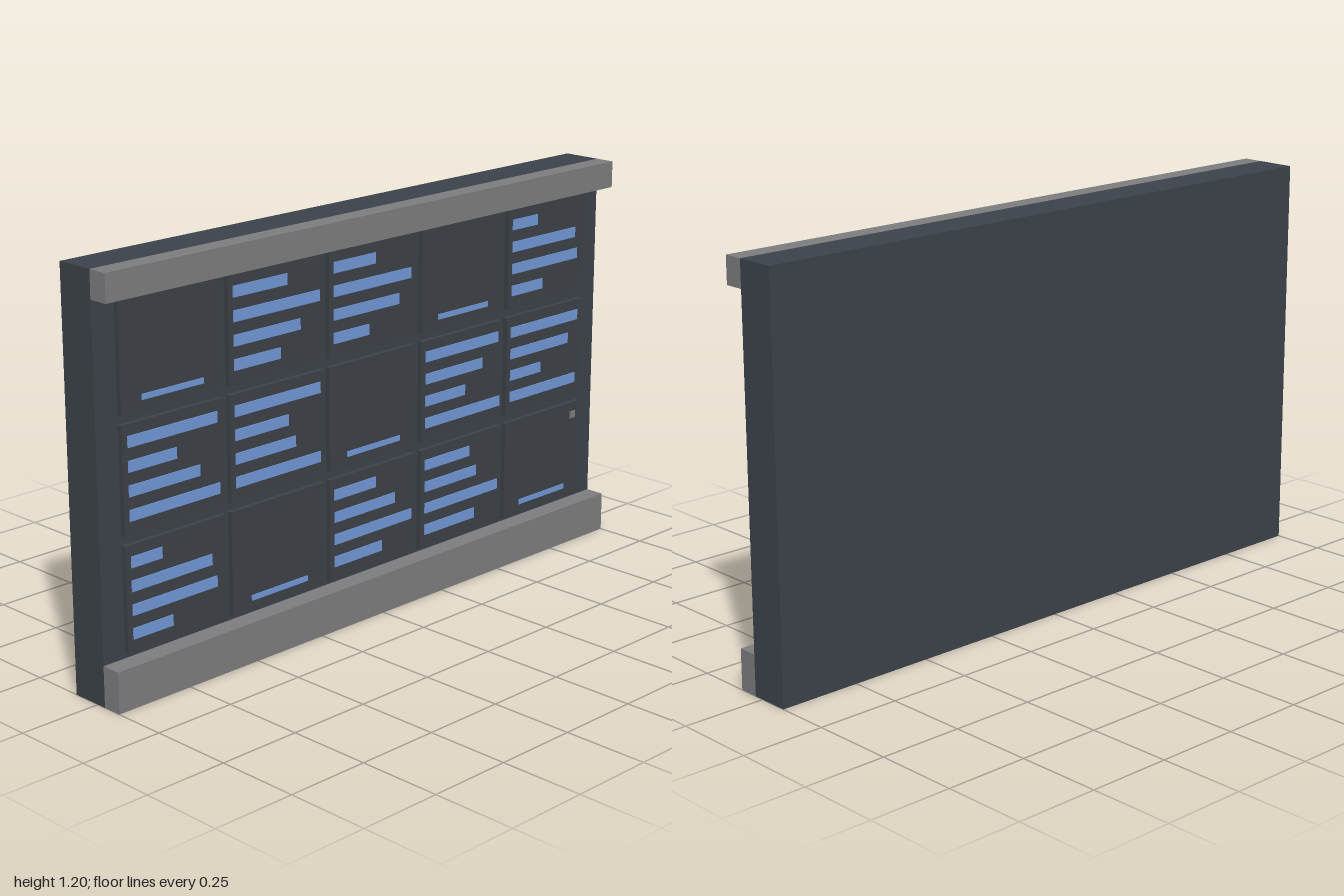
import * as THREE from 'three';

const mat = (name, color) => {
  const m = new THREE.MeshStandardMaterial({ color });
  m.name = name;
  return m;
};

export function createModel() {
  const board = new THREE.Group();
  board.name = 'displayBoard';
  const panelMat = mat('slate', 0x3b4249);
  const tileMat = mat('charcoal', 0x3c4147);
  const railMat = mat('grey', 0x7c7c7e);
  const lineMat = mat('blue', 0x7096d4);

  // Box given by its centre in x and y and its back and front in z
  const box = (parent, name, material, x, y, w, h, z0, z1) => {
    const mesh = new THREE.Mesh(new THREE.BoxGeometry(w, h, z1 - z0), material);
    mesh.name = name;
    mesh.position.set(x, y, (z0 + z1) / 2);
    parent.add(mesh);
  };

  // Back panel and the two projecting rails
  box(board, 'backPanel', panelMat, 0, 0.6, 2, 1.2, -0.09, 0.03);
  box(board, 'topRail', railMat, 0, 1.16, 2, 0.08, 0.03, 0.09);
  box(board, 'bottomRail', railMat, 0, 0.06, 2, 0.12, 0.03, 0.09);

  // Line lengths per tile, rows from the top; null is a tile with one caption strip
  const rows = [
    [null, [0.198, 0.321, 0.246, 0.171], [0.166, 0.31, 0.262, 0.139], null, [0.112, 0.289, 0.3, 0.139]],
    [[0.31, 0.166, 0.246, 0.316], [0.321, 0.198, 0.225, 0.321], null, [0.316, 0.246, 0.171, 0.326], [0.31, 0.267, 0.139, 0.305]],
    [[0.107, 0.283, 0.3, 0.139], null, [0.166, 0.246, 0.316, 0.193], [0.193, 0.225, 0.321, 0.219], null],
  ];
  const front = 0.046, raised = 0.049;

  rows.forEach((row, r) => row.forEach((lines, c) => {
    const tile = new THREE.Group();
    tile.name = `tile${r + 1}_${c + 1}`;
    tile.position.set((c - 2) * 0.375, 0.953 - r * 0.333, 0);
    board.add(tile);
    box(tile, 'tilePlate', tileMat, 0, 0, 0.352, 0.308, 0.03, front);
    if (lines) {
      lines.forEach((len, i) =>
        box(tile, 'contentLine', lineMat, -0.159 + len / 2, 0.106 - i * 0.0677, len, 0.032, front, raised));
    } else {
      box(tile, 'captionStrip', lineMat, 0, -0.116, 0.214, 0.016, front, raised);
    }
    // Small indicator on the last tile
    if (r === 2 && c === 4) box(tile, 'indicator', railMat, 0.142, 0.114, 0.022, 0.022, front, raised);
  }));
  return board;
}
